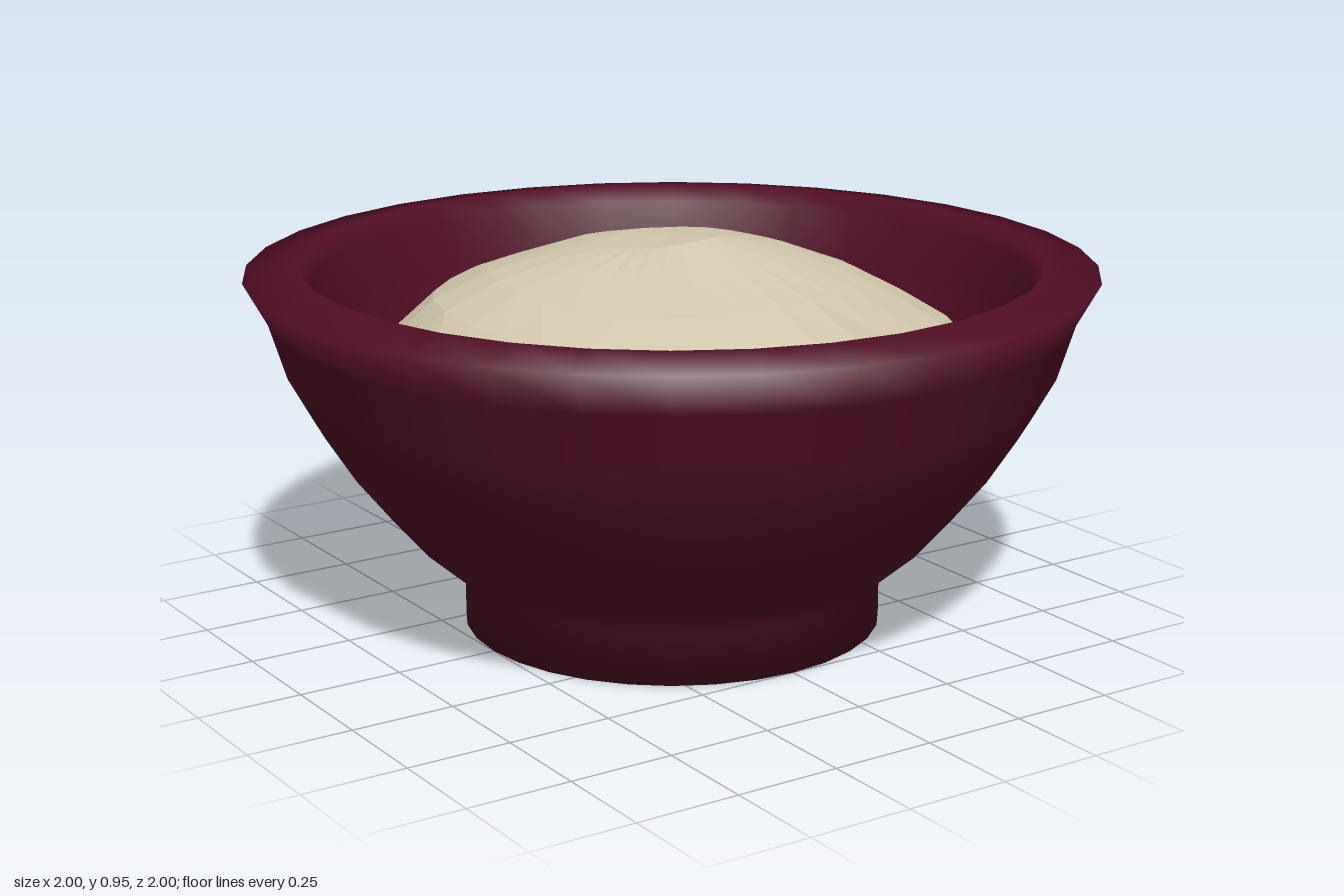
import * as THREE from 'three';

const toPoints = (list) => list.map(([r, y]) => new THREE.Vector2(r, y));

export function createModel() {
  const model = new THREE.Group();
  const maroon = new THREE.MeshStandardMaterial({ color: 0x520e25 });
  maroon.name = 'maroon glaze';
  const cream = new THREE.MeshStandardMaterial({ color: 0xd2c7ac, flatShading: true });
  cream.name = 'cream filling';

  // Bowl: foot, outer wall, flared lip and inner wall in one closed profile
  const bowlProfile = toPoints([
    [0, 0], [0.5, 0], [0.5, 0.12],
    [0.61, 0.215], [0.7, 0.32], [0.78, 0.42], [0.85, 0.53], [0.905, 0.63], [0.945, 0.76],
    [1, 0.86], [0.87, 0.88],
    [0.84, 0.84], [0.82, 0.72], [0.785, 0.58], [0.73, 0.46], [0.6, 0.3], [0.4, 0.2], [0, 0.16],
  ]);
  const bowl = new THREE.Mesh(new THREE.LatheGeometry(bowlProfile, 32), maroon);
  bowl.name = 'bowl';
  model.add(bowl);

  // Filling: a faceted mound, bottom edge tucked into the bowl wall
  const moundProfile = toPoints([
    [0.7, 0.4], [0.74, 0.48], [0.745, 0.56], [0.715, 0.64], [0.65, 0.71], [0.55, 0.785],
    [0.43, 0.845], [0.28, 0.891], [0.13, 0.918], [0, 0.92],
  ]);
  const mound = new THREE.LatheGeometry(moundProfile, 28);
  const pos = mound.attributes.position;
  for (let i = 0; i < pos.count; i++) {
    const x = pos.getX(i), y = pos.getY(i), z = pos.getZ(i);
    // Gentle uneven lumps, with two low crests near the top
    const lump = 0.008 * Math.sin(9 * x + 4 * z) + 0.007 * Math.sin(11 * z - 5 * x + 1);
    const crest = 0.02 * Math.exp(-((x + 0.02) ** 2 + (z - 0.13) ** 2) / 0.015)
      + 0.02 * Math.exp(-((x + 0.05) ** 2 + (z + 0.2) ** 2) / 0.02);
    const swell = 1 + 0.012 * Math.sin(17 * x + 13 * z) + 0.01 * Math.cos(8 * z - 6 * x);
    pos.setXYZ(i, x * swell, y + lump + crest, z * swell * 1.02);
  }
  mound.computeVertexNormals();
  const filling = new THREE.Mesh(mound, cream);
  filling.name = 'filling';
  model.add(filling);

  return model;
}
